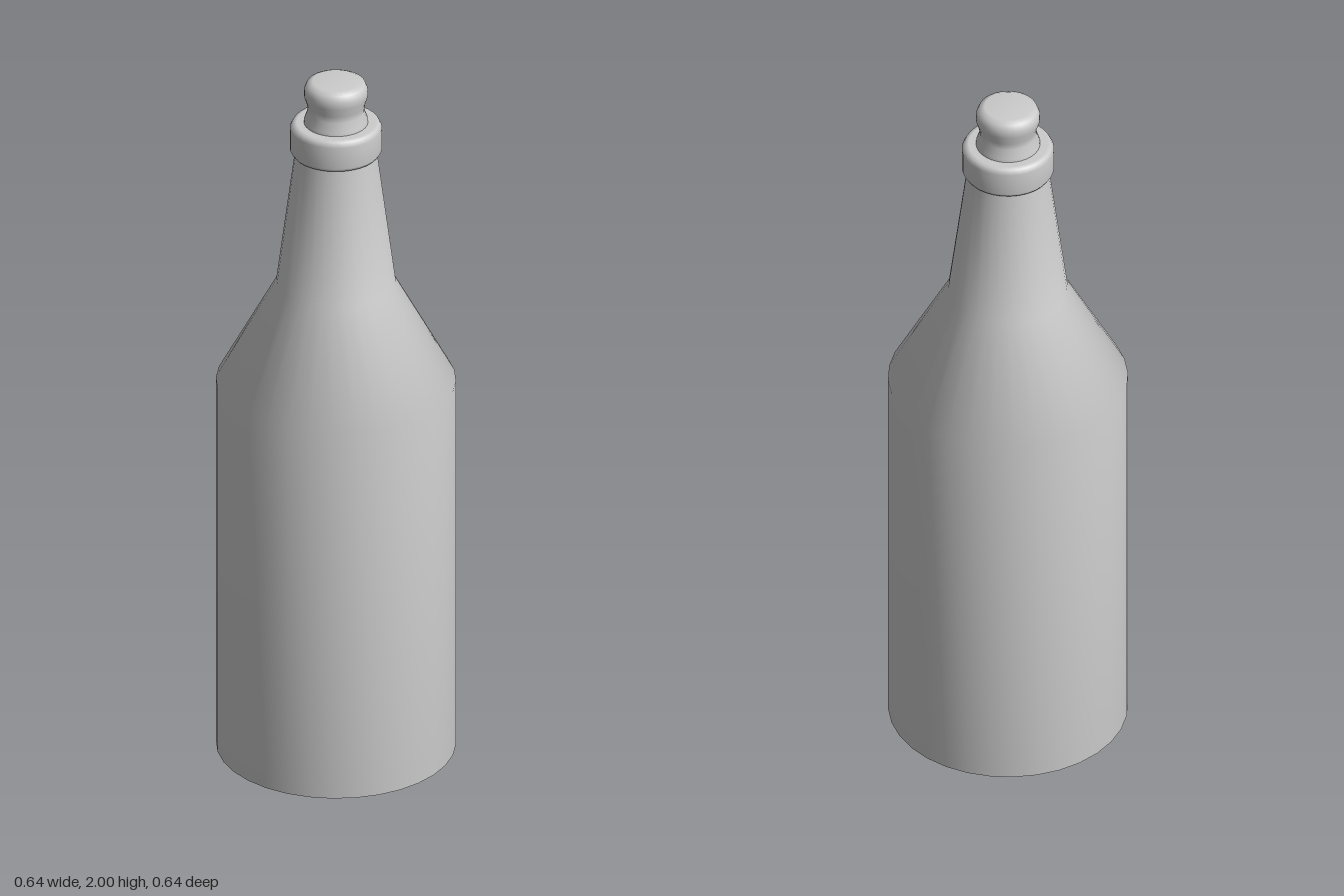
import * as THREE from 'three';

const SIDES = 32;

// Turns a bottom-to-top list of [radius, height] pairs into a smooth round part
function turned(name, profile) {
  const points = profile.map(([r, y]) => new THREE.Vector2(r, y));
  const mesh = new THREE.Mesh(
    new THREE.LatheGeometry(points, SIDES),
    new THREE.MeshStandardMaterial({ color: 0xcccccc })
  );
  mesh.name = name;
  return mesh;
}

export function createModel() {
  const group = new THREE.Group();
  group.name = 'bottle';

  // Glass body: hollowed base, straight wall, sloping shoulder, tapered neck
  group.add(turned('body', [
    [0, 0.07], [0.13, 0.06], [0.22, 0.035], [0.265, 0.003], [0.29, 0],
    [0.32, 0.004], [0.32, 1.1], [0.16, 1.395], [0.109, 1.79],
  ]));

  // Rounded collar around the mouth
  group.add(turned('collar', [
    [0.105, 1.785], [0.117, 1.787], [0.123, 1.797], [0.123, 1.86],
    [0.116, 1.873], [0.105, 1.876], [0, 1.876],
  ]));

  // Waisted stopper with a rounded top
  group.add(turned('stopper', [
    [0.086, 1.87], [0.085, 1.885], [0.076, 1.91], [0.077, 1.93],
    [0.085, 1.955], [0.085, 1.975], [0.078, 1.992], [0.062, 2], [0, 2],
  ]));

  return group;
}
